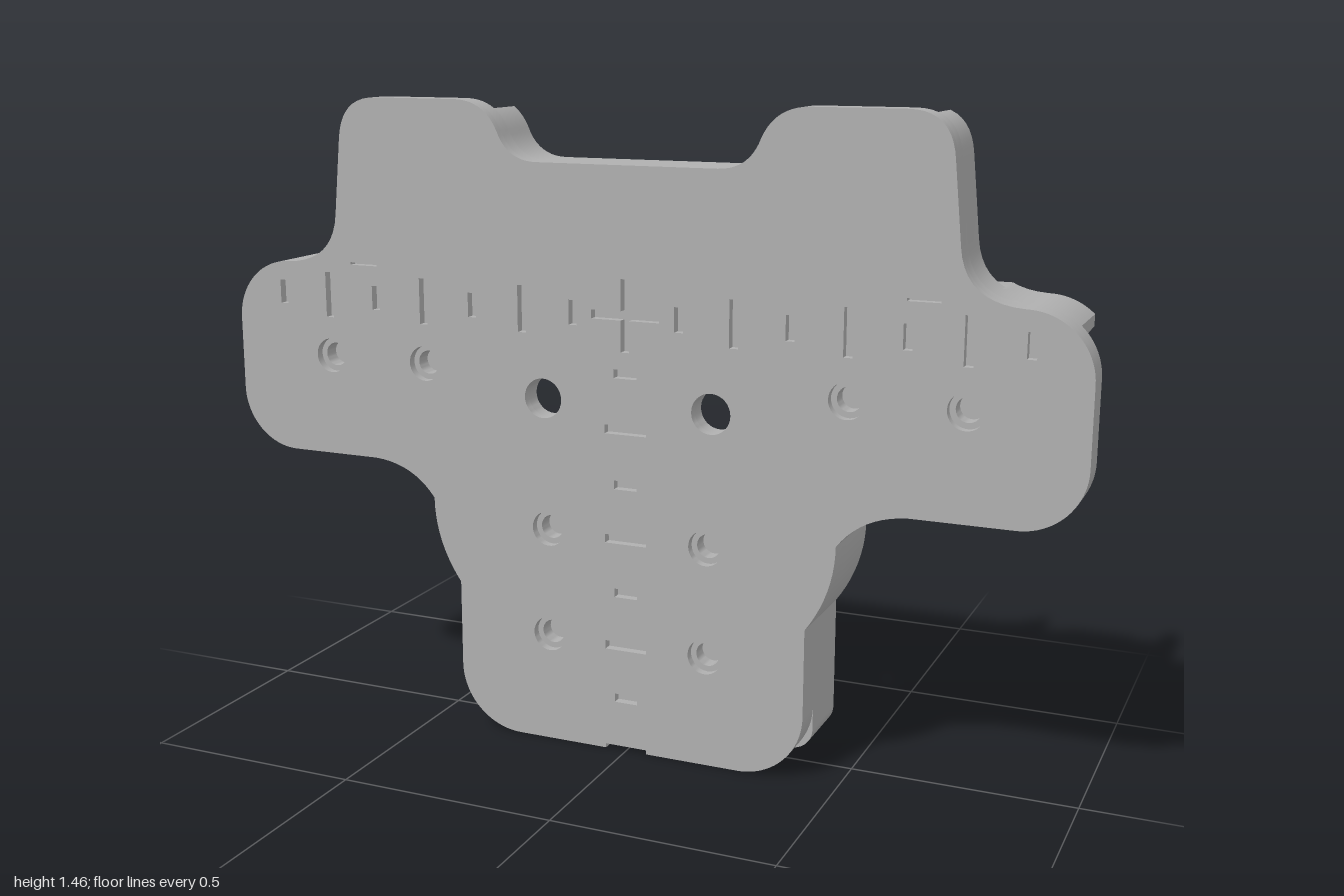
import * as THREE from 'three';
import { toCreasedNormals } from 'three/addons/utils/BufferGeometryUtils.js';

const FRONT = 0.112, BACK = -0.112, FLOOR = 0.04;

// Right half of the plate outline, bottom to top, then mirrored
function outline(notch = 0) {
  const p = new THREE.Path();
  p.moveTo(0, notch);
  if (notch) p.lineTo(0.05, notch).lineTo(0.05, 0);
  p.absarc(0.27, 0.15, 0.15, -Math.PI / 2, 0);
  p.lineTo(0.42, 0.35);
  p.quadraticCurveTo(0.485, 0.44, 0.485, 0.545);
  p.quadraticCurveTo(0.54, 0.62, 0.64, 0.625);
  p.absarc(0.86, 0.765, 0.14, -Math.PI / 2, 0);
  p.absarc(0.86, 0.935, 0.14, 0, Math.PI / 2);
  p.quadraticCurveTo(0.735, 1.08, 0.725, 1.19);
  p.lineTo(0.708, 1.36);
  p.quadraticCurveTo(0.7, 1.455, 0.61, 1.455);
  p.lineTo(0.41, 1.455);
  p.quadraticCurveTo(0.335, 1.455, 0.305, 1.39);
  p.quadraticCurveTo(0.28, 1.325, 0.21, 1.325);
  p.lineTo(0, 1.325);
  const half = p.getPoints(10);
  return [...half, ...mirror(half).reverse().slice(1, -1)];
}

const mirror = (pts) => pts.map((v) => new THREE.Vector2(-v.x, v.y));

// Keep the part of a polygon where nx * x + ny * y >= d
function clip(pts, nx, ny, d) {
  const out = [];
  pts.forEach((a, i) => {
    const b = pts[(i + 1) % pts.length];
    const da = nx * a.x + ny * a.y - d, db = nx * b.x + ny * b.y - d;
    if (da >= 0) out.push(a);
    if (da * db < 0) out.push(a.clone().lerp(b, da / (da - db)));
  });
  return out;
}

const disc = (x, y, r) => new THREE.Path().absarc(x, y, r, 0, Math.PI * 2);
const slot = (x, y, w, h) => new THREE.Path([[-1, -1], [1, -1], [1, 1], [-1, 1]]
  .map(([i, j]) => new THREE.Vector2(x + i * w / 2, y + j * h / 2)));

// Extrude a polygon between two depths
function slab(pts, z0, z1, holes = []) {
  const shape = new THREE.Shape(pts);
  shape.holes = holes;
  const g = new THREE.ExtrudeGeometry(shape, { depth: z1 - z0, bevelEnabled: false, curveSegments: 16 });
  return toCreasedNormals(g.translate(0, 0, z0), 0.5);
}

export function createModel() {
  const model = new THREE.Group();
  model.name = 'mountingPlate';
  const grey = new THREE.MeshStandardMaterial({ color: 0xb0b0b0 });
  grey.name = 'grey';
  const add = (name, geometry) => {
    const m = new THREE.Mesh(geometry, grey);
    m.name = name;
    model.add(m);
    return m;
  };
  const body = outline();
  const sides = [1, -1];

  // Hole positions
  const screws = [], through = [];
  for (const s of sides) {
    for (const [x, y] of [[0.75, 0.86], [0.5, 0.86], [0.19, 0.505], [0.19, 0.255]]) screws.push([s * x, y]);
    through.push([s * 0.2, 0.805]);
  }
  const circles = (list, r) => list.map(([x, y]) => disc(x, y, r));

  // Scale marks sunk into the front
  const marks = [];
  for (let i = 1; i <= 7; i++) {
    const long = i % 2 === 0;
    for (const s of sides) marks.push(slot(s * i * 0.125, 1.003, 0.02, long ? 0.105 : 0.055));
    marks.push(slot(0, i * 0.125, long ? 0.1 : 0.055, 0.02));
  }
  for (const s of sides) marks.push(slot(s * 0.655, 1.079, 0.07, 0.006));
  const a = 0.01, b = 0.08;
  marks.push(new THREE.Path([[a, a], [a, b], [-a, b], [-a, a], [-b, a], [-b, -a], [-a, -a], [-a, -b],
    [a, -b], [a, -a], [b, -a], [b, a]].map(([x, y]) => new THREE.Vector2(x, 1.003 + y))));

  // Plate in three layers: marked face, screw shanks, shallow rear recesses
  add('plateFace', slab(outline(0.01), 0.092, FRONT, [...marks, ...circles(screws, 0.04), ...circles(through, 0.045)]));
  add('plateCore', slab(body, 0.055, 0.092, [...circles(screws, 0.027), ...circles(through, 0.045)]));
  add('plateBack', slab(clip(body, 0, -1, -1.08), FLOOR, 0.055, circles(through, 0.105)));

  // Solid block between the two upper pockets
  let centre = clip(body, 0, 1, 1.0);
  for (const s of sides) centre = clip(centre, s, 0, -0.34);
  add('upperBlock', slab(centre, -0.04, 0.055));

  // Outer pocket walls, with dovetail tongues inside the pockets
  const wall = clip(clip(clip(body, 0, 1, 1.04), 1, 0, 0.655), -1, 0, -0.955);
  const tongue = [[-0.06, 0.055], [0.06, 0.055], [0.082, 0.01], [-0.082, 0.01]]
    .map(([x, z]) => new THREE.Vector2(x, -z));
  for (const s of sides) {
    add('pocketWall', slab(s > 0 ? wall : mirror(wall), -0.04, 0.055));
    const t = slab(tongue, 0, 0.35);
    t.rotateX(-Math.PI / 2);
    add('dovetailTongue', t).position.set(s * 0.4975, 1.07, 0);
  }

  // Long rear rail with a sloping underside
  let rail = clip(clip(body, 0, 1, 0.988), 0, -1, -1.093);
  for (const s of sides) {
    rail = clip(rail, s, 0, -0.955);
    rail = clip(rail, s, 1, 0.988 - 0.93);
  }
  const railGeo = slab(rail, BACK, FLOOR);
  const pos = railGeo.attributes.position;
  for (let i = 0; i < pos.count; i++) {
    if (pos.getY(i) < 0.99 && pos.getZ(i) > 0) pos.setY(i, pos.getY(i) - 0.018);
  }
  add('rearRail', toCreasedNormals(railGeo, 0.5));

  // Lower guide walls following the wing and the leg
  const g = new THREE.Path();
  g.moveTo(0.42, 0.095);
  g.lineTo(0.42, 0.35);
  g.quadraticCurveTo(0.485, 0.44, 0.485, 0.545);
  g.quadraticCurveTo(0.54, 0.62, 0.64, 0.625);
  g.lineTo(0.86, 0.625);
  g.quadraticCurveTo(0.92, 0.627, 0.955, 0.662);
  g.quadraticCurveTo(0.955, 0.72, 0.905, 0.72);
  g.lineTo(0.36, 0.72);
  g.quadraticCurveTo(0.3, 0.72, 0.3, 0.68);
  g.absarc(0.19, 0.505, 0.207, 1.01, -0.88, true);
  g.lineTo(0.32, 0.345);
  g.lineTo(0.32, 0.095);
  g.absarc(0.37, 0.095, 0.05, Math.PI, Math.PI * 2);
  const guide = g.getPoints(10).slice(0, -1);
  for (const s of sides) add('guideWall', slab(s > 0 ? guide : mirror(guide), BACK, FLOOR));

  // Central spine with a bevelled crown
  const spine = [[-0.04, 0.045], [0.04, 0.045], [0.04, 0], [0.022, -0.02], [0.022, -0.05],
    [0.012, -0.062], [-0.012, -0.062], [-0.022, -0.05], [-0.022, -0.02], [-0.04, 0]]
    .map(([x, z]) => new THREE.Vector2(x, -z));
  const spineGeo = slab(spine, 0, 1.0);
  spineGeo.rotateX(-Math.PI / 2);
  add('centreSpine', spineGeo);

  // Round bosses with pins on the rear floor
  for (const s of sides) {
    for (const [name, r, z] of [['boss', 0.115, 0.005], ['bossPin', 0.028, -0.04]]) {
      const c = new THREE.CylinderGeometry(r, r, 0.045 - z, 32);
      c.rotateX(Math.PI / 2);
      add(name, c).position.set(s * 0.19, 0.505, (0.045 + z) / 2);
    }
  }
  return model;
}
